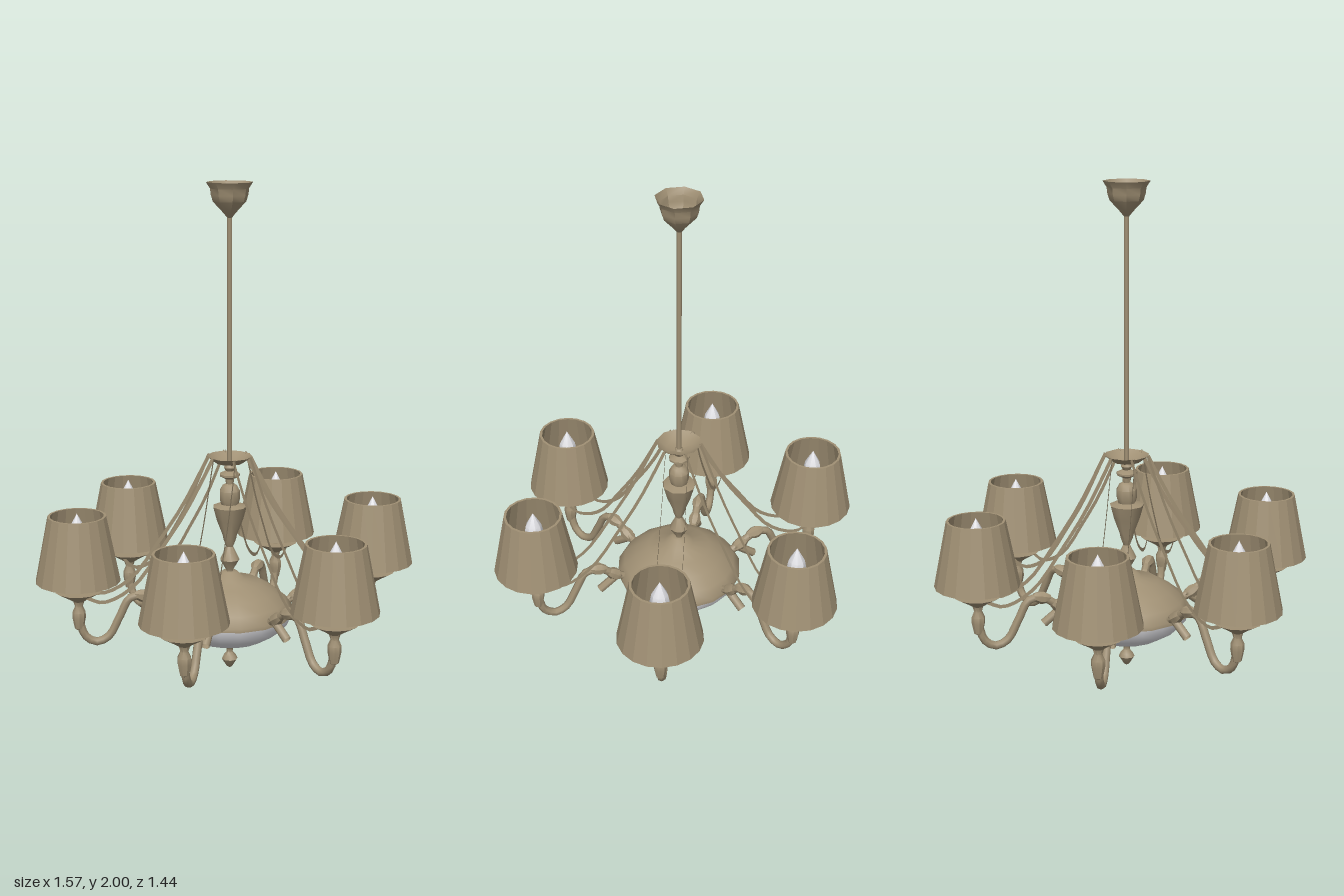
import * as THREE from 'three';
import { toCreasedNormals } from 'three/addons/utils/BufferGeometryUtils.js';

const bronze = new THREE.MeshStandardMaterial({ color: 0xa09074, side: THREE.DoubleSide });
bronze.name = 'bronze';
const glass = new THREE.MeshStandardMaterial({ color: 0xe2e2e6, side: THREE.DoubleSide });
glass.name = 'white glass';

const v2 = (p) => p.map(([x, y]) => new THREE.Vector2(x, y));
const v3 = (p) => p.map(([x, y]) => new THREE.Vector3(x, y, 0));

function part(name, geometry, material = bronze) {
  const mesh = new THREE.Mesh(geometry, material);
  mesh.name = name;
  return mesh;
}

// turned part from [radius, height] pairs, bottom to top
function turned(name, profile, sides, material, crease = 0.75) {
  return part(name, toCreasedNormals(new THREE.LatheGeometry(v2(profile), sides), crease), material);
}

// thin vertical strip following a path, offset sideways
function ribbon(path, width, zStart, zEnd) {
  const n = 16, pos = [], index = [];
  for (let i = 0; i <= n; i++) {
    const t = i / n, p = path.getPoint(t), d = path.getTangent(t);
    const z = zStart + (zEnd - zStart) * t;
    for (const s of [-1, 1]) pos.push(p.x - d.y * s * width / 2, p.y + d.x * s * width / 2, z);
    if (i < n) index.push(2 * i, 2 * i + 2, 2 * i + 1, 2 * i + 1, 2 * i + 2, 2 * i + 3);
  }
  const g = new THREE.BufferGeometry();
  g.setAttribute('position', new THREE.Float32BufferAttribute(pos, 3));
  g.setIndex(index);
  g.computeVertexNormals();
  return g;
}

const LAMP_R = 0.618;

function createArm() {
  const arm = new THREE.Group();
  arm.name = 'lampArm';

  // S-shaped arm from the bowl to the lamp holder
  const curve = new THREE.CatmullRomCurve3(v3([
    [0.22, 0.26], [0.28, 0.29], [0.35, 0.335], [0.41, 0.33], [0.455, 0.25],
    [0.5, 0.17], [0.55, 0.15], [0.595, 0.18], [LAMP_R, 0.25]]));
  arm.add(part('armTube', new THREE.TubeGeometry(curve, 22, 0.017, 7)));

  // beads strung on the inner end of the arm
  for (const t of [0.13, 0.27]) {
    const bead = turned('armBead', [[0.015, -0.035], [0.026, -0.008], [0.026, 0.008], [0.015, 0.035]], 7);
    bead.position.copy(curve.getPointAt(t));
    bead.quaternion.setFromUnitVectors(new THREE.Vector3(0, 1, 0), curve.getTangentAt(t));
    arm.add(bead);
  }

  // short stub hanging outward below the arm
  const stub = new THREE.LineCurve3(...v3([[0.26, 0.295], [0.35, 0.225]]));
  arm.add(part('armStub', new THREE.TubeGeometry(stub, 1, 0.018, 7)));

  // pair of thin hanging straps
  const strap = new THREE.CatmullRomCurve3(v3([
    [0.075, 0.91], [0.11, 0.84], [0.19, 0.69], [0.29, 0.54],
    [0.38, 0.415], [0.46, 0.355], [0.53, 0.335], [0.59, 0.36]]));
  for (const s of [-1, 1]) arm.add(part('strap', ribbon(strap, 0.015, s * 0.045, s * 0.06)));

  // lamp at the end of the arm
  const lamp = new THREE.Group();
  lamp.name = 'lamp';
  lamp.position.x = LAMP_R;
  lamp.add(
    turned('holder', [[0, 0.2], [0.018, 0.21], [0.027, 0.255], [0.027, 0.28], [0.016, 0.305], [0.024, 0.33]], 8),
    turned('dripCup', [[0.02, 0.325], [0.045, 0.342], [0.096, 0.372], [0, 0.366]], 14),
    part('candle', new THREE.CylinderGeometry(0.02, 0.02, 0.19, 8).translate(0, 0.46, 0)),
    turned('bulb', [[0, 0.55], [0.025, 0.56], [0.04, 0.595], [0.032, 0.635], [0, 0.695]], 8, glass),
    turned('shade', [[0.172, 0.415], [0.118, 0.685], [0.108, 0.685], [0.164, 0.415]], 18, bronze, 0.3));
  arm.add(lamp);
  return arm;
}

export function createModel() {
  const model = new THREE.Group();
  model.name = 'chandelier';
  const hub = new THREE.Group();
  hub.name = 'hub';
  hub.position.z = -0.01;
  model.add(hub);

  // ceiling canopy, rod and the cup that carries the straps
  hub.add(
    turned('canopy', [[0.008, 1.86], [0.024, 1.88], [0.066, 1.925], [0.074, 1.95], [0.077, 1.975], [0.093, 2]], 8),
    part('rod', new THREE.CylinderGeometry(0.01, 0.01, 1.0, 8).translate(0, 1.38, 0)),
    turned('strapCup', [[0.012, 0.872], [0.055, 0.882], [0.092, 0.91]], 10));

  // turned central column
  hub.add(turned('column', [
    [0.014, 0.41], [0.014, 0.43], [0.04, 0.475], [0.014, 0.53], [0.026, 0.56], [0.03, 0.58],
    [0.055, 0.645], [0.07, 0.7], [0.036, 0.71], [0.042, 0.73], [0.042, 0.765], [0.03, 0.787],
    [0.016, 0.795], [0.018, 0.815], [0.042, 0.828], [0.042, 0.836], [0.016, 0.848], [0.024, 0.862], [0.014, 0.88]], 9));

  // metal bowl cover, glass bowl and bottom finial
  hub.add(
    turned('bowlCover', [[0.262, 0.25], [0.262, 0.265], [0.235, 0.305], [0.185, 0.345], [0.13, 0.378], [0.06, 0.398], [0.03, 0.425], [0, 0.425]], 16),
    turned('glassBowl', [[0, 0.115], [0.08, 0.125], [0.15, 0.145], [0.215, 0.185], [0.25, 0.225], [0.257, 0.255]], 18, glass),
    turned('finial', [[0, 0.005], [0.012, 0.012], [0.033, 0.045], [0.026, 0.06], [0.013, 0.075], [0.014, 0.09], [0.03, 0.112], [0.022, 0.125]], 8));

  // six arms around the hub, slightly uneven
  for (const degrees of [-5.5, 59.7, 116, 181.5, 234.8, 299.4]) {
    const arm = createArm();
    arm.rotation.y = -THREE.MathUtils.degToRad(degrees);
    hub.add(arm);
  }
  return model;
}
